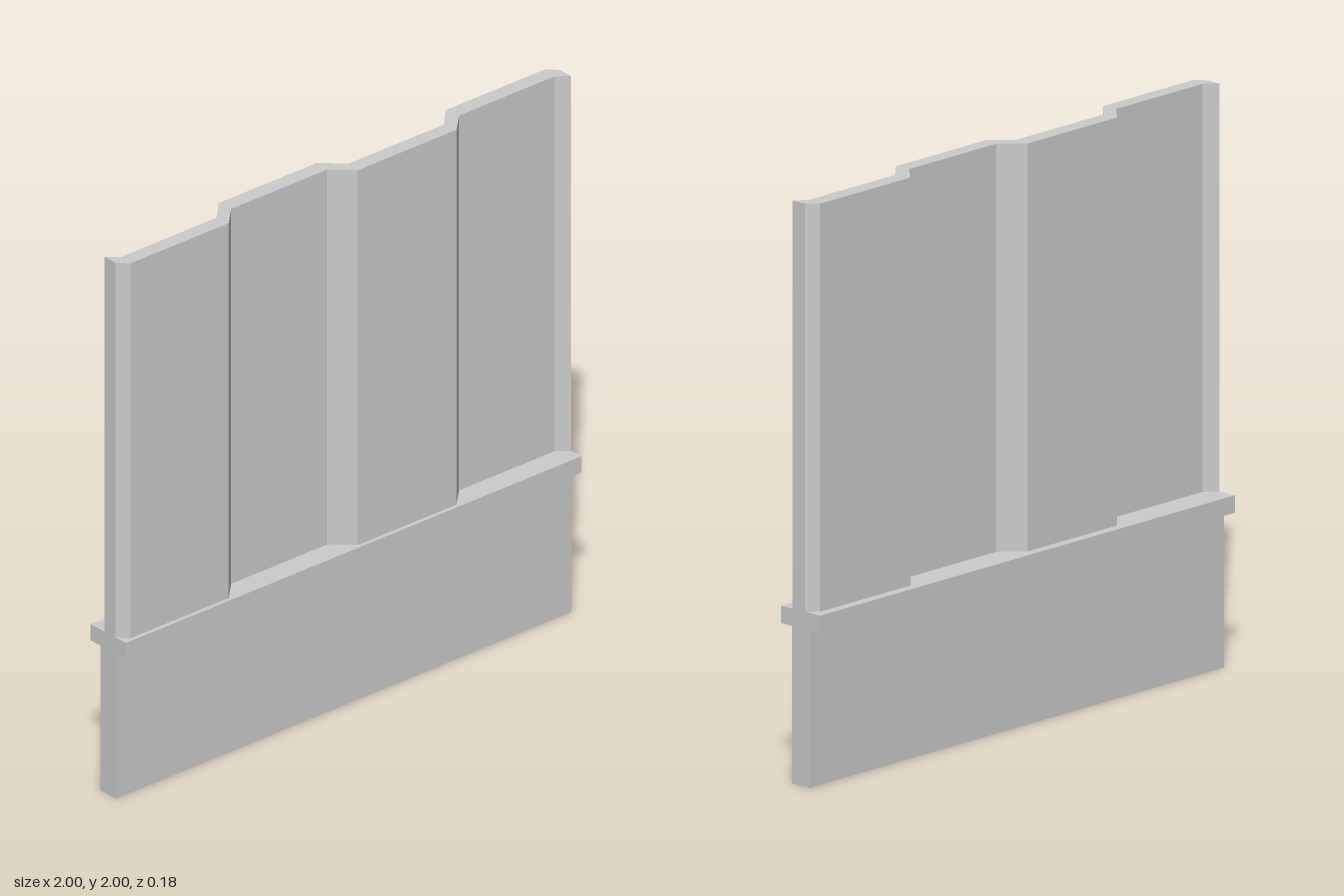
import * as THREE from 'three';

export function createModel() {
  const group = new THREE.Group();
  const material = new THREE.MeshStandardMaterial({ color: 0xcccccc, flatShading: true });

  const add = (name, geometry, y) => {
    const mesh = new THREE.Mesh(geometry, material);
    mesh.name = name;
    mesh.position.y = y;
    group.add(mesh);
  };

  // Plain lower wall and the wider rail on top of it
  add('baseWall', new THREE.BoxGeometry(2, 0.54, 0.08), 0.27);
  add('rail', new THREE.BoxGeometry(2, 0.06, 0.176), 0.57);

  // Corrugated sheet: plan outline [x, z], extruded upwards
  const front = [
    [-1, 0.036], [-0.967, 0.073], [-0.535, 0.073], [-0.463, 0.003], [-0.042, 0.003],
    [0.031, 0.073], [0.465, 0.073], [0.538, 0.003], [0.956, 0.003], [1, 0.036],
  ];
  const back = [
    [-1, -0.018], [-0.958, 0.018], [-0.54, 0.018], [-0.468, -0.055], [-0.035, -0.055],
    [0.038, 0.018], [0.458, 0.018], [0.53, -0.055], [0.965, -0.055], [1, -0.02],
  ];
  const outline = [...front, ...back.reverse()].map(([x, z]) => new THREE.Vector2(x, -z));
  const sheet = new THREE.ExtrudeGeometry(new THREE.Shape(outline), { depth: 1.4, bevelEnabled: false });
  sheet.rotateX(-Math.PI / 2);
  add('corrugatedSheet', sheet, 0.6);

  return group;
}
